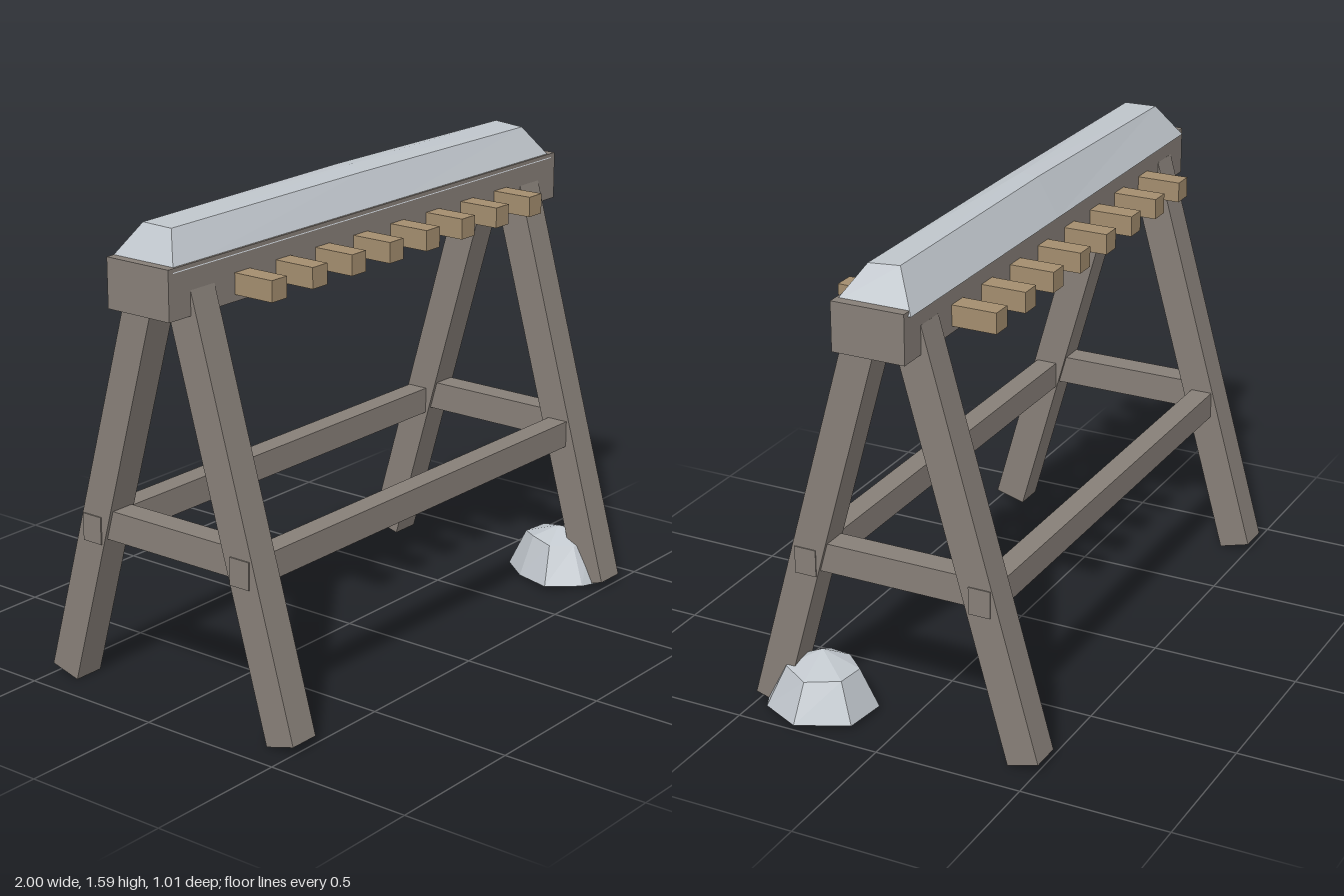
import * as THREE from 'three';

const material = (name, color) => {
  const m = new THREE.MeshStandardMaterial({ color, side: THREE.DoubleSide, flatShading: true });
  m.name = name;
  return m;
};

// Box; with open = true the underside is left off
function box(w, h, d, open = false) {
  const g = new THREE.BoxGeometry(w, h, d);
  if (open) {
    const index = Array.from(g.index.array);
    index.splice(18, 6);
    g.setIndex(index);
    g.clearGroups();
  }
  return g;
}

// Flat-shaded surface: rings of equal count from bottom to top, closed by an apex fan
function facetedMound(rings, apex, closeBase) {
  const n = rings[0].length;
  const points = [...rings.flat(), apex];
  const index = [];
  rings.forEach((ring, r) => {
    for (let i = 0; i < n; i++) {
      const j = (i + 1) % n, a = r * n + i, b = r * n + j;
      if (r < rings.length - 1) index.push(a, b, b + n, a, b + n, a + n);
      else index.push(a, b, points.length - 1);
    }
  });
  if (closeBase) for (let i = 1; i < n - 1; i++) index.push(0, i + 1, i);
  const g = new THREE.BufferGeometry();
  g.setAttribute('position', new THREE.Float32BufferAttribute(points.flat(), 3));
  g.setIndex(index);
  const flat = g.toNonIndexed();
  flat.computeVertexNormals();
  return flat;
}

export function createModel() {
  const group = new THREE.Group();
  group.name = 'weaponRack';
  const wood = material('weathered wood', 0x877f78);
  const pegWood = material('light wood', 0xa38d6e);
  const snow = material('snow', 0xbfc5cb);

  const add = (name, geometry, mat, x, y, z) => {
    const mesh = new THREE.Mesh(geometry, mat);
    mesh.name = name;
    mesh.position.set(x, y, z);
    group.add(mesh);
    return mesh;
  };

  // Top beam
  add('topBeam', box(1.985, 0.16, 0.245), wood, -0.008, 1.4, 0.002);

  // Splayed legs and the short stretcher of each end frame
  const tilt = 0.272, legLength = 1.43;
  for (const [side, x] of [['right', -0.852], ['left', 0.833]]) {
    for (const [end, s] of [['Front', 1], ['Back', -1]]) {
      const z = s * (0.4525 - Math.sin(tilt) * legLength / 2);
      const y = 0.02 + Math.cos(tilt) * legLength / 2;
      const leg = add(side + end + 'Leg', box(0.107, legLength, 0.109, true), wood, x, y, z);
      leg.rotation.x = -s * tilt;
    }
    add(side + 'EndStretcher', box(0.085, 0.098, 0.58), wood, x, 0.57, 0);
  }

  // Long stretchers
  add('frontStretcher', box(1.8, 0.091, 0.075), wood, -0.01, 0.548, 0.302);
  add('backStretcher', box(1.8, 0.091, 0.075), wood, -0.01, 0.548, -0.307);

  // Row of pegs through the beam
  for (let i = 0; i < 8; i++) {
    add('peg' + (i + 1), box(0.07, 0.068, 0.54, true), pegWood, -0.672 + i * 0.1905, 1.376, 0);
  }

  // Snow lying along the beam, slightly higher in the middle
  const snowCap = facetedMound([
    [[-0.98, 1.465, 0.126], [0, 1.465, 0.126], [0.96, 1.465, 0.126],
      [0.96, 1.465, -0.13], [0, 1.465, -0.13], [-0.98, 1.465, -0.13]],
    [[-0.905, 1.575, 0.053], [0, 1.58, 0.053], [0.885, 1.577, 0.053],
      [0.885, 1.586, -0.056], [0, 1.59, -0.056], [-0.905, 1.577, -0.06]],
  ], [0, 1.597, 0], true);
  add('snowCap', snowCap, snow, 0, 0, 0);

  // Snow heap around the front left foot, open underneath
  const base = [[0.655, 0.35], [0.74, 0.45], [0.83, 0.488], [0.93, 0.44],
    [0.998, 0.3], [0.92, 0.135], [0.77, 0.118], [0.69, 0.22]];
  const shoulder = [0.15, 0.145, 0.155, 0.16, 0.145, 0.15, 0.15, 0.16];
  const heap = facetedMound([
    base.map(([x, z]) => [x, 0.02, z]),
    base.map(([x, z], i) => [0.82 + (x - 0.82) * 0.65, shoulder[i], 0.285 + (z - 0.285) * 0.65]),
  ], [0.8, 0.197, 0.305], false);
  add('snowHeap', heap, snow, 0, 0, 0);

  return group;
}
